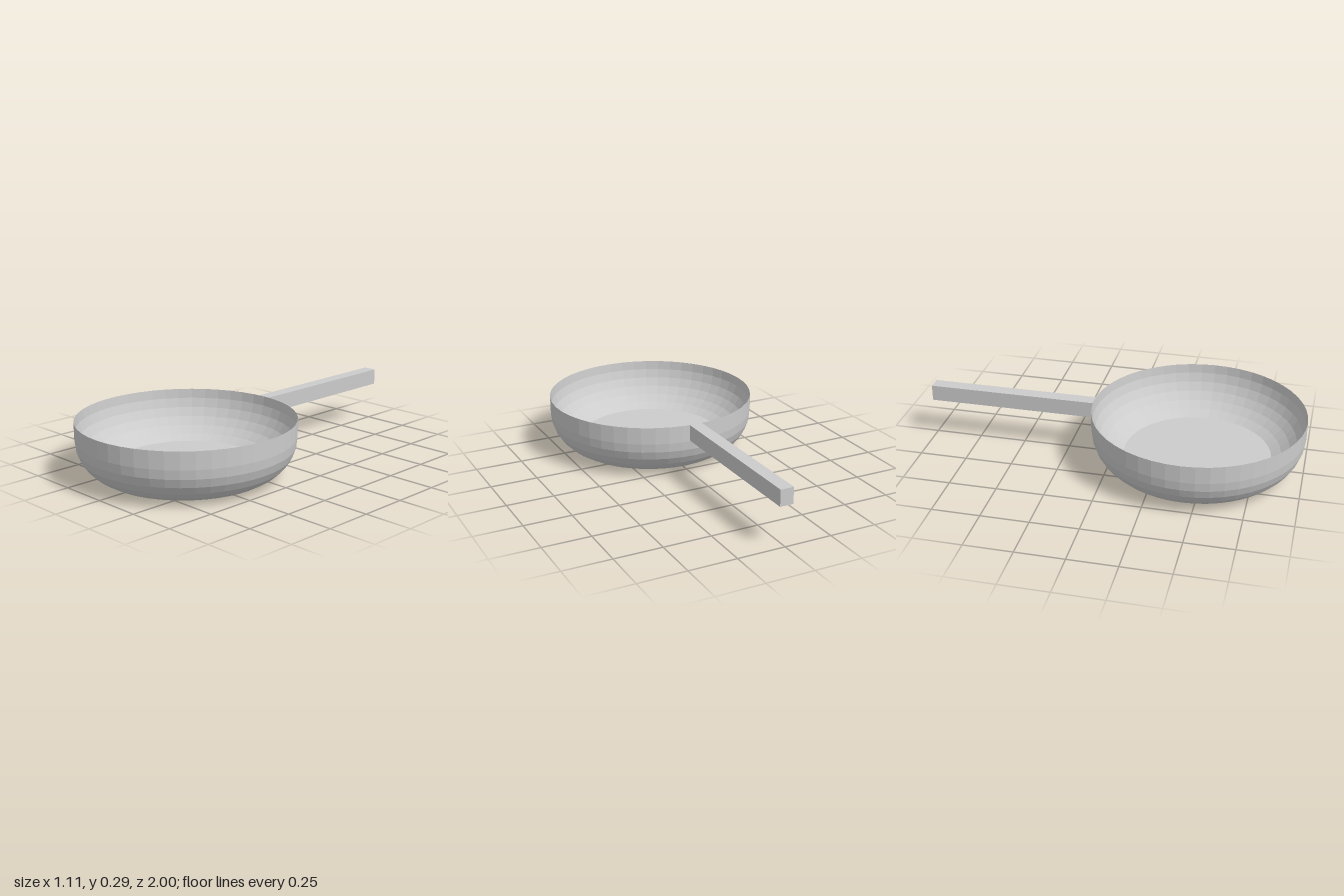
import * as THREE from 'three';

export function createModel() {
  const model = new THREE.Group();
  const material = new THREE.MeshStandardMaterial({ color: 0xcccccc, flatShading: true });

  const radius = 0.555, baseRadius = 0.385, rimY = 0.295, segments = 48;
  const centerZ = 1 - radius;

  // Elliptical arc from the flat bottom (i = 0) up to a vertical wall (i = steps)
  const wallArc = (bottomY, topY, degrees, steps) => {
    const sweep = THREE.MathUtils.degToRad(degrees);
    const a = (radius - baseRadius) / (1 - Math.cos(sweep));
    const b = (topY - bottomY) / Math.sin(sweep);
    return Array.from({ length: steps + 1 }, (_, i) => {
      const t = sweep * (1 - i / steps);
      return new THREE.Vector2(radius - a * (1 - Math.cos(t)), topY - b * Math.sin(t));
    });
  };

  // Closed pan: underside and outer wall up to a sharp rim, then the inner wall down to a raised floor
  const floorY = 0.05;
  const profile = [
    new THREE.Vector2(0, 0),
    ...wallArc(0, 0.205, 79, 6),
    ...wallArc(floorY, rimY, 60, 6).reverse(),
    new THREE.Vector2(0, floorY),
  ];
  const pan = new THREE.Mesh(new THREE.LatheGeometry(profile, segments), material);
  pan.name = 'pan';
  pan.position.z = centerZ;
  model.add(pan);

  // Straight square handle, flush with the rim
  const backZ = -1, frontZ = centerZ - radius;
  const height = 0.085, length = frontZ - backZ;
  const handle = new THREE.Mesh(new THREE.BoxGeometry(0.07, height, length), material);
  handle.name = 'handle';
  handle.position.set(0, rimY - height / 2, (backZ + frontZ) / 2);
  model.add(handle);

  return model;
}
